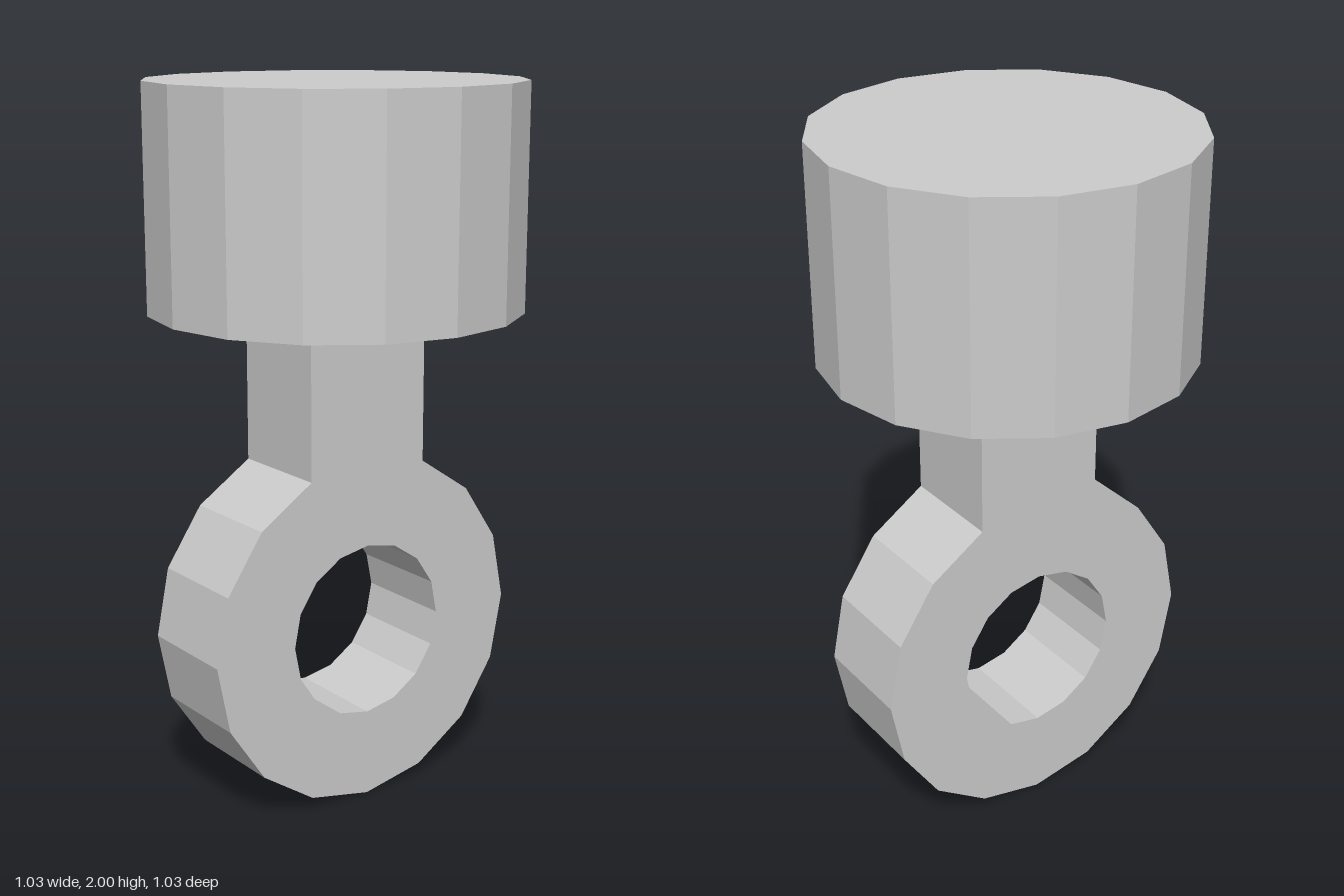
import * as THREE from 'three';

const SIDES = 16;
const RING_Y = 0.497, OUTER = 0.497, INNER = 0.247;
const DEPTH = 0.306;
const CAP_RADIUS = 0.516, CAP_BOTTOM = 1.385, CAP_TOP = 2;

// Point on a 16-sided circle around the ring's centre
function ringPoint(radius, i) {
  const a = (i / SIDES) * Math.PI * 2;
  return new THREE.Vector2(radius * Math.cos(a), RING_Y + radius * Math.sin(a));
}

export function createModel() {
  const model = new THREE.Group();
  model.name = 'eyeletPin';
  const material = new THREE.MeshStandardMaterial({ color: 0xcccccc, flatShading: true });

  // Flat eyelet ring whose two upper corners rise into the square shank
  const outline = [];
  for (let i = 5; i <= 19; i++) outline.push(ringPoint(OUTER, i));
  const halfShank = outline[outline.length - 1].x;
  outline.push(new THREE.Vector2(halfShank, CAP_BOTTOM), new THREE.Vector2(-halfShank, CAP_BOTTOM));
  const shape = new THREE.Shape(outline);

  const hole = [];
  for (let i = SIDES; i > 0; i--) hole.push(ringPoint(INNER, i));
  shape.holes.push(new THREE.Path(hole));

  const eyeletGeometry = new THREE.ExtrudeGeometry(shape, { depth: DEPTH, bevelEnabled: false });
  eyeletGeometry.translate(0, 0, -DEPTH / 2);
  const eyelet = new THREE.Mesh(eyeletGeometry, material);
  eyelet.name = 'eyeletAndShank';
  model.add(eyelet);

  // Faceted round cap on top of the shank
  const height = CAP_TOP - CAP_BOTTOM;
  const cap = new THREE.Mesh(new THREE.CylinderGeometry(CAP_RADIUS, CAP_RADIUS, height, SIDES), material);
  cap.name = 'cap';
  cap.position.y = CAP_BOTTOM + height / 2;
  model.add(cap);

  return model;
}
